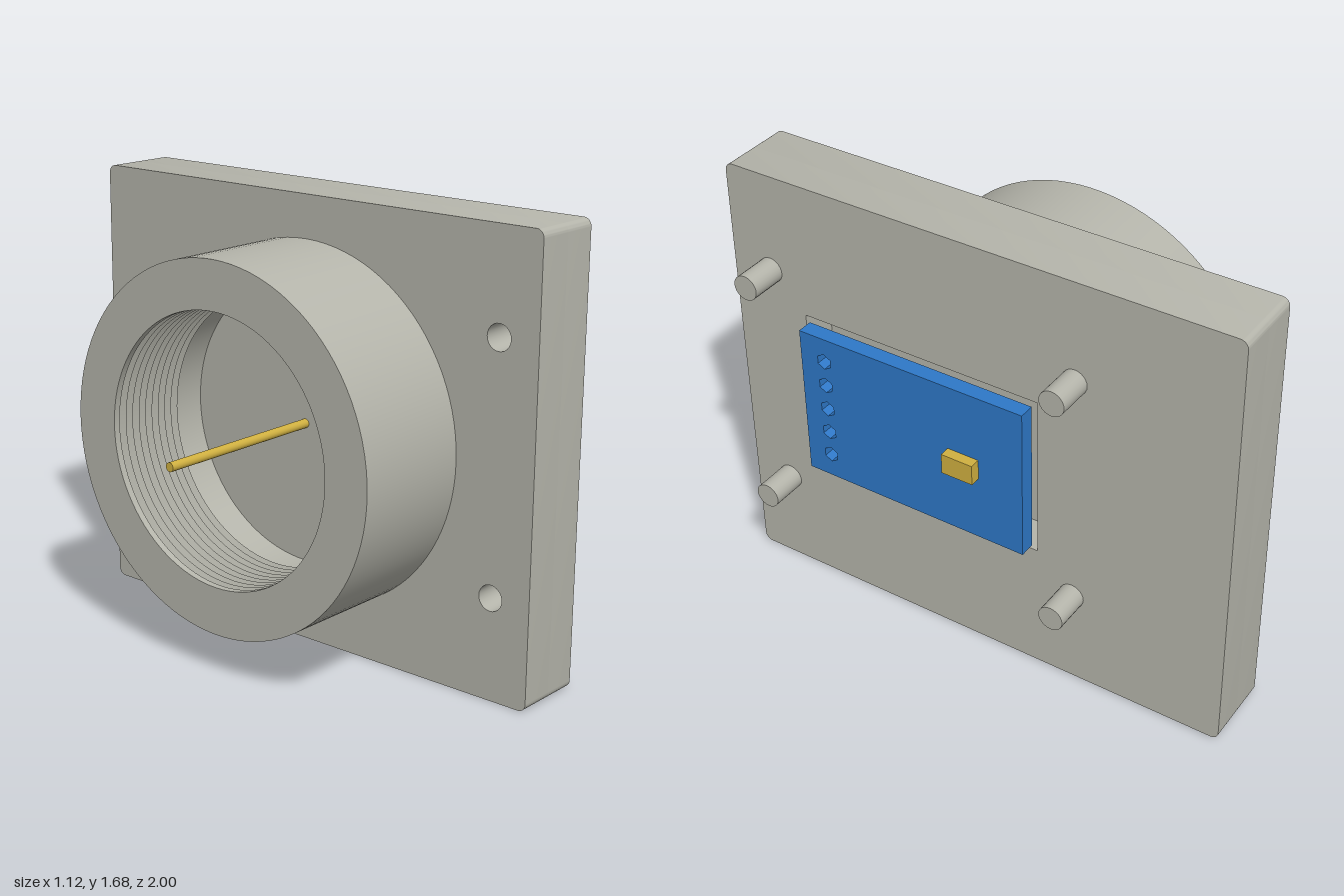
import * as THREE from 'three';
import { toCreasedNormals } from 'three/addons/utils/BufferGeometryUtils.js';

const CY = 0.84; // height of the main axis

const material = (name, color) => {
  const m = new THREE.MeshStandardMaterial({ color });
  m.name = name;
  return m;
};

// Rectangle outline in (-z, y) with rounded corners
function rect(z0, z1, y0, y1, r, Type = THREE.Shape) {
  const s = new Type(), a = -z1, b = -z0;
  s.moveTo(a + r, y0);
  s.lineTo(b - r, y0);
  if (r) s.absarc(b - r, y0 + r, r, -Math.PI / 2, 0);
  s.lineTo(b, y1 - r);
  if (r) s.absarc(b - r, y1 - r, r, 0, Math.PI / 2);
  s.lineTo(a + r, y1);
  if (r) s.absarc(a + r, y1 - r, r, Math.PI / 2, Math.PI);
  s.lineTo(a, y0 + r);
  if (r) s.absarc(a + r, y0 + r, r, Math.PI, Math.PI * 1.5);
  return s;
}

// Regular polygon hole with a corner pointing up
function roundHole(z, y, r, sides) {
  const pts = [];
  for (let i = 0; i < sides; i++) {
    const t = Math.PI / 2 + (i / sides) * Math.PI * 2;
    pts.push(new THREE.Vector2(-z + r * Math.cos(t), y + r * Math.sin(t)));
  }
  return new THREE.Path(pts);
}

// Extrude a (-z, y) outline from x0 to x1
function slab(shape, x0, x1) {
  const g = new THREE.ExtrudeGeometry(shape, { depth: x1 - x0, bevelEnabled: false, curveSegments: 6 });
  g.rotateY(Math.PI / 2).translate(x0, 0, 0);
  return toCreasedNormals(g, 0.6);
}

// Cylinder lying along x
function rod(x0, x1, y, z, r, sides) {
  const g = new THREE.CylinderGeometry(r, r, x1 - x0, sides);
  return g.rotateZ(-Math.PI / 2).translate((x0 + x1) / 2, y, z);
}

export function createModel() {
  const grey = material('housing grey', 0xb5b5ab);
  const blue = material('board blue', 0x2e78c8);
  const gold = material('contact gold', 0xd0b040);
  const model = new THREE.Group();
  model.name = 'sensorHousing';
  const add = (name, geometry, mat) => {
    const mesh = new THREE.Mesh(geometry, mat);
    mesh.name = name;
    model.add(mesh);
  };

  const pegs = [];
  for (const z of [0.84, -0.4]) for (const y of [0.38, 1.3]) pegs.push([z, y]);

  // Flange: back layer with blind peg holes, front layer with the board pocket
  const back = rect(-1, 1, 0, 1.68, 0.03);
  pegs.forEach(([z, y]) => back.holes.push(roundHole(z, y, 0.048, 24)));
  add('flangeBack', slab(back, 0.14, 0.28), grey);
  const front = rect(-1, 1, 0, 1.68, 0.03);
  front.holes.push(rect(-0.26, 0.7, 0.52, 1.16, 0, THREE.Path));
  add('flangeFront', slab(front, 0.28, 0.415), grey);

  // Mounting pegs
  pegs.forEach(([z, y]) => add('peg', rod(0.28, 0.555, y, z, 0.048, 24), grey));

  // Collar: outer wall, smooth inner section, then thread grooves out to the rim
  const profile = [[0.68, -0.34], [0.68, 0.14], [0.53, 0.14], [0.53, 0]];
  const turns = 10, pitch = 0.033;
  for (let i = 0; i < turns; i++) {
    profile.push([0.5, -(i + 0.5) * pitch]);
    profile.push([0.53, -(i + 1) * pitch]);
  }
  profile.pop();
  profile.push([0.5, -0.34], [0.68, -0.34]);
  const collar = new THREE.LatheGeometry(profile.map(([r, x]) => new THREE.Vector2(r, x)), 96);
  collar.rotateZ(-Math.PI / 2).translate(0, CY, 0);
  add('threadedCollar', toCreasedNormals(collar, 0.5), grey);

  // Centre contact pin
  add('centrePin', rod(-0.56, 0.42, CY, 0, 0.017, 20), gold);

  // Circuit board with a row of hexagonal holes
  const board = rect(-0.24, 0.68, 0.54, 1.14, 0);
  for (let i = -2; i <= 2; i++) board.holes.push(roundHole(0.58, CY + i * 0.102, 0.031, 6));
  add('circuitBoard', slab(board, 0.42, 0.48), blue);

  // Component on the board
  const chip = new THREE.BoxGeometry(0.04, 0.08, 0.125);
  chip.translate(0.5, CY, 0);
  add('chip', chip, gold);

  return model;
}
